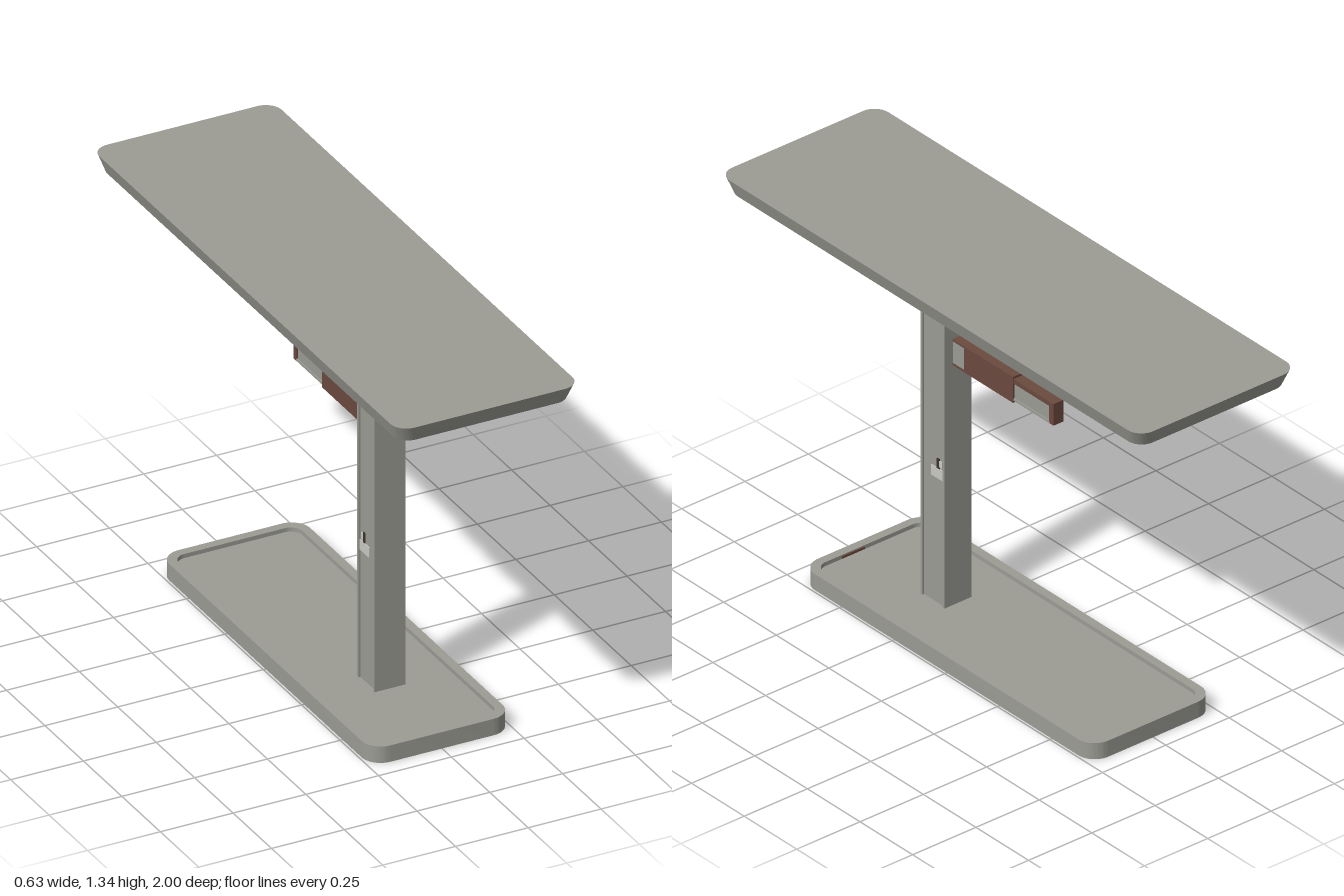
import * as THREE from 'three';
import { toCreasedNormals } from 'three/addons/utils/BufferGeometryUtils.js';

const material = (name, color) => {
  const m = new THREE.MeshStandardMaterial({ color });
  m.name = name;
  return m;
};

// Rounded rectangle in plan; shape y becomes -z once laid flat
function roundedRect(w, d, r, cz = 0, Type = THREE.Shape) {
  const s = new Type(), x = w / 2, y = d / 2;
  s.absarc(x - r, -cz + y - r, r, 0, Math.PI / 2);
  s.absarc(-x + r, -cz + y - r, r, Math.PI / 2, Math.PI);
  s.absarc(-x + r, -cz - y + r, r, Math.PI, Math.PI * 1.5);
  s.absarc(x - r, -cz - y + r, r, Math.PI * 1.5, Math.PI * 2);
  s.closePath();
  return s;
}

// Horizontal slab between two heights
function slab(shape, y0, y1) {
  const g = new THREE.ExtrudeGeometry(shape, { depth: y1 - y0, bevelEnabled: false, curveSegments: 8 });
  g.rotateX(-Math.PI / 2).translate(0, y0, 0);
  return g;
}

export function createModel() {
  const model = new THREE.Group();
  model.name = 'pedestalTable';
  const grey = material('warmGrey', 0x9c9c95);
  const brown = material('brown', 0x6b4a3f);
  const light = material('lightGrey', 0xcacac4);
  const dark = material('darkBrown', 0x3f312c);

  const add = (name, geometry, mat, parent = model) => {
    const mesh = new THREE.Mesh(geometry, mat);
    mesh.name = name;
    parent.add(mesh);
    return mesh;
  };
  // Box given by its minimum and maximum on each axis
  const box = (name, mat, [x0, x1], [y0, y1], [z0, z1], parent) => {
    const g = new THREE.BoxGeometry(x1 - x0, y1 - y0, z1 - z0);
    g.translate((x0 + x1) / 2, (y0 + y1) / 2, (z0 + z1) / 2);
    return add(name, g, mat, parent);
  };

  // Tabletop, narrower along its lower edge
  const top = slab(roundedRect(0.626, 2, 0.055), 1.28, 1.335);
  const p = top.attributes.position;
  for (let i = 0; i < p.count; i++) {
    if (p.getY(i) < 1.3) {
      p.setX(i, p.getX(i) * 0.945);
      p.setZ(i, p.getZ(i) * 0.98);
    }
  }
  add('tabletop', toCreasedNormals(top, 0.6), grey);

  // Support rail and pads beneath the tabletop
  box('supportRail', grey, [-0.08, 0.08], [1.26, 1.282], [-0.735, 0.93]);
  box('leftPad', brown, [0.127, 0.226], [1.272, 1.281], [-0.32, -0.16]);
  box('rightPad', brown, [-0.24, -0.143], [1.272, 1.281], [-0.32, -0.16]);

  // Column with a recessed channel on each side, below a collar
  const column = new THREE.Group();
  column.name = 'column';
  model.add(column);
  box('columnCore', grey, [-0.046, 0.046], [0.04, 1.16], [0.24, 0.35], column);
  box('columnFrontFlange', grey, [-0.053, 0.053], [0.04, 1.155], [0.343, 0.352], column);
  box('columnBackFlange', grey, [-0.053, 0.053], [0.04, 1.155], [0.238, 0.247], column);
  box('columnHead', grey, [-0.053, 0.053], [1.155, 1.23], [0.238, 0.352], column);
  box('collar', grey, [-0.062, 0.062], [1.222, 1.261], [0.22, 0.37], column);

  // Catch on both sides of the column
  for (const s of [-1, 1]) {
    const plate = box('catchPlate', light, [-0.002, 0.002], [0.487, 0.523], [0.24, 0.308], column);
    plate.position.x = s * 0.047;
    const hook = box('catchHook', dark, [-0.002, 0.002], [0.523, 0.558], [0.268, 0.28], column);
    hook.position.x = s * 0.047;
    const tip = box('catchTip', light, [-0.002, 0.002], [0.53, 0.552], [0.255, 0.268], column);
    tip.position.x = s * 0.047;
  }

  // Telescoping arm reaching back from the column
  const arm = new THREE.Group();
  arm.name = 'arm';
  model.add(arm);
  box('armBracket', grey, [-0.02, 0.02], [0.903, 0.985], [0.18, 0.24], arm);
  box('bracketTopLip', brown, [-0.022, 0.022], [0.983, 0.99], [0.18, 0.24], arm);
  box('bracketBottomLip', brown, [-0.022, 0.022], [0.898, 0.905], [0.18, 0.24], arm);
  box('armSleeve', brown, [-0.022, 0.022], [0.898, 0.99], [-0.05, 0.182], arm);
  box('armSlide', grey, [-0.016, 0.016], [0.912, 0.966], [-0.222, -0.05], arm);
  box('slideTopRail', brown, [-0.02, 0.02], [0.966, 0.982], [-0.24, -0.05], arm);
  box('slideBottomRail', grey, [-0.02, 0.02], [0.905, 0.913], [-0.222, -0.05], arm);
  box('armEnd', brown, [-0.02, 0.02], [0.905, 0.982], [-0.24, -0.218], arm);

  // Base: raised rim around a recessed floor, with a socket under the column
  const rim = roundedRect(0.484, 1.38, 0.065);
  rim.holes.push(roundedRect(0.424, 1.32, 0.04, 0, THREE.Path));
  add('baseRim', toCreasedNormals(slab(rim, 0, 0.057), 0.6), grey);
  const floor = roundedRect(0.426, 1.322, 0.04);
  floor.holes.push(roundedRect(0.09, 0.1, 0.004, 0.295, THREE.Path));
  add('baseFloor', toCreasedNormals(slab(floor, 0.004, 0.043), 0.6), grey);
  add('baseSlotCover', toCreasedNormals(slab(roundedRect(0.11, 0.32, 0.05, -0.26), 0.002, 0.005), 0.6), grey);
  box('rimStrip', brown, [0.02, 0.11], [0.046, 0.054], [0.656, 0.661]);

  return model;
}
